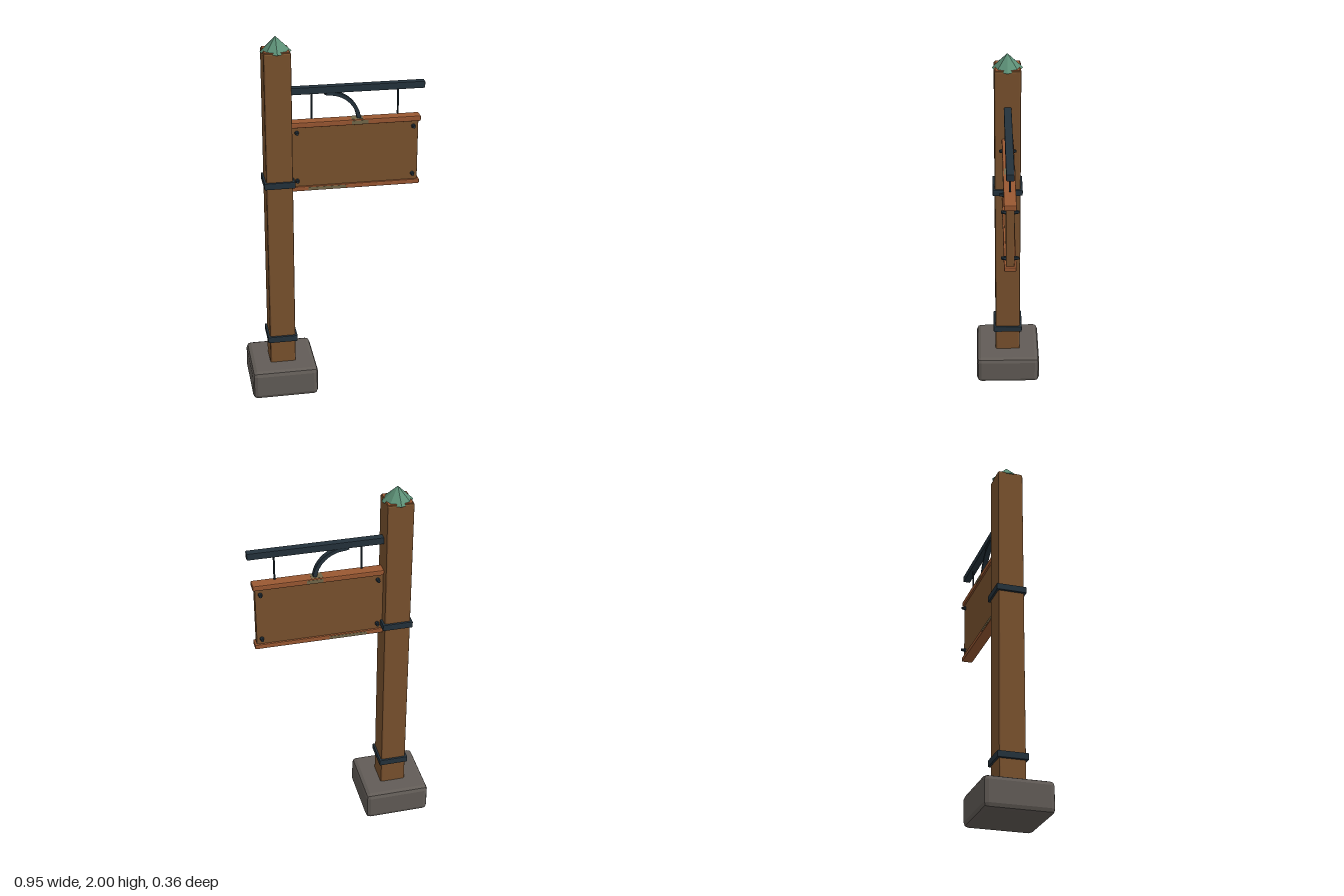
import * as THREE from 'three';
import { RoundedBoxGeometry } from 'three/addons/geometries/RoundedBoxGeometry.js';

const mat = (name, color) => {
  const m = new THREE.MeshStandardMaterial({ color, flatShading: true });
  m.name = name;
  return m;
};

export function createModel() {
  const wood = mat('wood', 0x7a522e);
  const copper = mat('copper', 0x9a5832);
  const iron = mat('iron', 0x24323c);
  const stone = mat('stone', 0x625c57);
  const verdigris = mat('verdigris', 0x5c8f76);
  const tarnish = mat('tarnished copper', 0x74694a);

  const model = new THREE.Group();
  model.name = 'signpost';

  const add = (name, geometry, material, x, y, z = 0) => {
    const mesh = new THREE.Mesh(geometry, material);
    mesh.name = name;
    mesh.position.set(x, y, z);
    model.add(mesh);
    return mesh;
  };
  // Box given by its x and y ranges, with bevelled edges, centred on z = 0
  const block = (name, material, x0, x1, y0, y1, depth, bevel) =>
    add(name, new RoundedBoxGeometry(x1 - x0, y1 - y0, depth, 1, bevel), material,
      (x0 + x1) / 2, (y0 + y1) / 2);

  const px = -0.295; // post axis

  // Stone foot and wooden post
  block('base', stone, px - 0.18, px + 0.18, 0, 0.165, 0.36, 0.025);
  block('post', wood, px - 0.07, px + 0.07, 0.08, 1.93, 0.14, 0.009);

  // Iron bands around the post
  for (const y of [0.31, 1.222]) {
    block('band', iron, px - 0.081, px + 0.081, y - 0.018, y + 0.018, 0.162, 0.005);
  }

  // Copper collar and pointed cap
  add('capCollar', new THREE.BoxGeometry(0.126, 0.012, 0.126), copper, px, 1.926);
  add('cap', new THREE.ConeGeometry(0.08, 0.078, 8), verdigris, px, 1.961).rotation.y = 0;

  // Bracket arm and hanging rods
  block('arm', iron, -0.228, 0.473, 1.691, 1.728, 0.04, 0.004);
  for (const x of [-0.115, 0.335]) {
    add('rod', new THREE.CylinderGeometry(0.005, 0.005, 0.15, 8), iron, x, 1.63);
  }

  // Curved brace: quarter ellipse strip from the arm down to the sign
  const brace = new THREE.Shape();
  brace.moveTo(-0.05, 1.695);
  brace.absellipse(-0.03, 1.53, 0.17, 0.165, Math.PI / 2, 0, true);
  brace.lineTo(0.12, 1.53);
  brace.absellipse(-0.03, 1.53, 0.15, 0.147, 0, Math.PI / 2, false);
  brace.lineTo(-0.05, 1.682);
  const braceGeometry = new THREE.ExtrudeGeometry(brace, {
    depth: 0.028, bevelEnabled: false, curveSegments: 10,
  });
  add('brace', braceGeometry, iron, 0, 0, -0.014);

  // Sign board with copper rails along top and bottom
  block('signBoard', wood, -0.228, 0.442, 1.18, 1.525, 0.042, 0.004);
  block('topRail', copper, -0.23, 0.453, 1.515, 1.545, 0.062, 0.006);
  block('bottomRail', copper, -0.23, 0.453, 1.164, 1.19, 0.062, 0.006);

  // Tarnished patches: thin plates on the faces of the rails
  for (const side of [-1, 1]) {
    const z = side * 0.0312;
    add('topPatch', new THREE.BoxGeometry(0.085, 0.019, 0.002), tarnish, 0.132, 1.53, z);
    add('bottomPatch', new THREE.BoxGeometry(0.2, 0.015, 0.002), tarnish, -0.04, 1.177, z);
  }
  add('topPatch', new THREE.BoxGeometry(0.06, 0.002, 0.05), tarnish, 0.12, 1.5452);

  // Bolts at the four corners, on both faces
  for (const x of [-0.197, 0.415]) {
    for (const y of [1.222, 1.488]) {
      for (const side of [-1, 1]) {
        const bolt = add('bolt', new THREE.CylinderGeometry(0.007, 0.012, 0.026, 8), iron,
          x, y, side * 0.032);
        bolt.rotation.x = side * Math.PI / 2;
      }
    }
  }

  return model;
}
